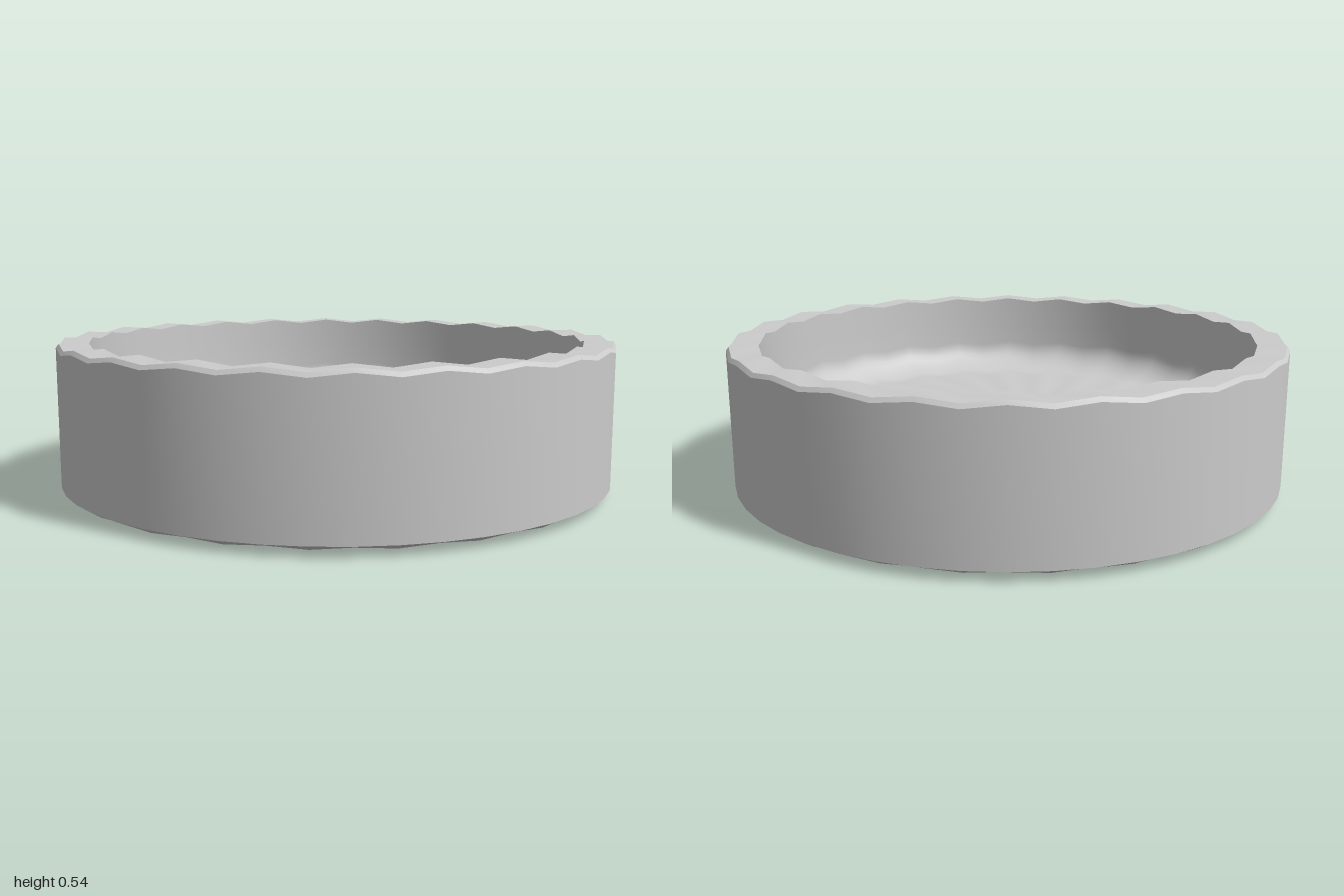
import * as THREE from 'three';
import { mergeVertices } from 'three/addons/utils/BufferGeometryUtils.js';

const SEGMENTS = 48;
const RIPPLE = 0.007;

export function createModel() {
  const group = new THREE.Group();
  group.name = 'dish';
  const material = new THREE.MeshStandardMaterial({ color: 0xcccccc });

  // Revolves [radius, height, ripple] points; every other spoke is raised or lowered
  function addRing(name, profile) {
    const geo = new THREE.LatheGeometry(profile.map(([r, y]) => new THREE.Vector2(r, y)), SEGMENTS);
    const pos = geo.attributes.position;
    for (let i = 0; i < pos.count; i++) {
      const spoke = Math.floor(i / profile.length);
      const amount = profile[i % profile.length][2];
      pos.setY(i, pos.getY(i) + (spoke % 2 ? -1 : 1) * amount * RIPPLE);
    }
    // Weld the seam so the shading runs on around the ring
    geo.deleteAttribute('uv');
    geo.deleteAttribute('normal');
    const welded = mergeVertices(geo, 1e-5);
    welded.computeVertexNormals();
    const mesh = new THREE.Mesh(welded, material);
    mesh.name = name;
    group.add(mesh);
  }

  // Underside with a shallow bevel at its edge
  addRing('underside', [[0, 0.007, 0], [0.3, 0.007, 1], [0.89, 0.007, 1]]);
  addRing('bottomBevel', [[0.89, 0.007, 1], [0.97, 0.02, 0.5], [1, 0.035, 0]]);

  // Outer wall and flat rippled rim
  addRing('outerWall', [[1, 0.035, 0], [1, 0.3, 0], [1, 0.515, 1]]);
  addRing('rimBevel', [[1, 0.515, 1], [0.99, 0.529, 1]]);
  addRing('rim', [[0.99, 0.529, 1], [0.89, 0.529, 1]]);

  // Inner wall curving through a fillet into the rippled floor
  const bowl = [[0.89, 0.529, 1], [0.89, 0.42, 1]];
  for (let i = 0; i <= 8; i++) {
    const a = (i / 8) * Math.PI / 2;
    bowl.push([0.75 + 0.14 * Math.cos(a), 0.33 - 0.11 * Math.sin(a), 1]);
  }
  bowl.push([0.35, 0.22, 1], [0, 0.22, 0]);
  addRing('bowl', bowl);

  return group;
}
